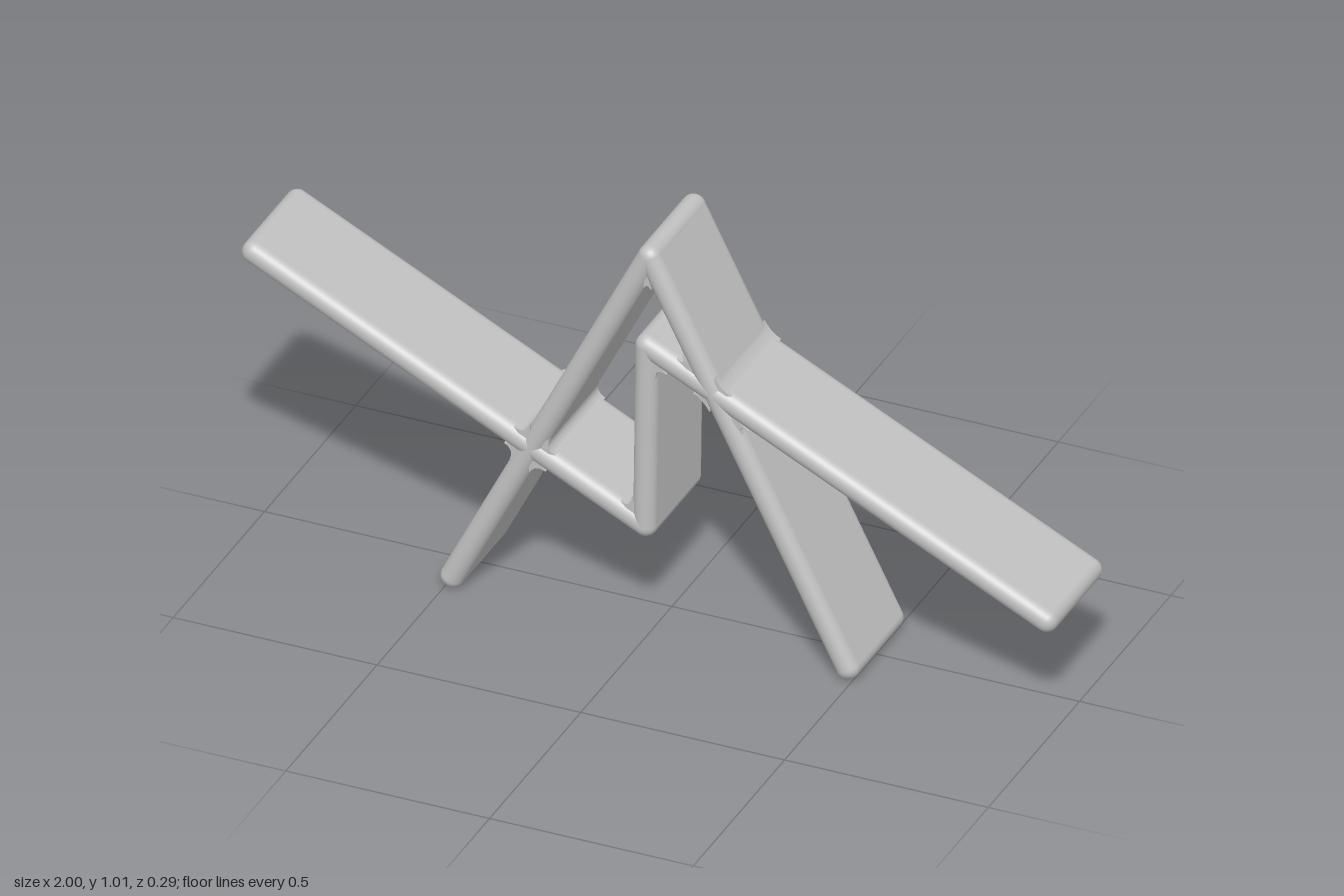
import * as THREE from 'three';
import { RoundedBoxGeometry } from 'three/addons/geometries/RoundedBoxGeometry.js';

const HALF = 0.028;   // half plank thickness
const WIDTH = 0.29;   // plank width along z

export function createModel() {
  const model = new THREE.Group();
  const grey = new THREE.MeshStandardMaterial({ color: 0xc0c0c0 });
  grey.name = 'light grey';
  const v = (x, y) => new THREE.Vector2(x, y);

  const add = (name, geometry) => {
    const mesh = new THREE.Mesh(geometry, grey);
    mesh.name = name;
    model.add(mesh);
    return mesh;
  };

  // Soft-edged plank between two points in the front plane
  const plank = (name, a, b) => {
    const d = b.clone().sub(a);
    const geo = new RoundedBoxGeometry(d.length() + 2 * HALF, 2 * HALF, WIDTH, 5, HALF * 0.98);
    const mesh = add(name, geo);
    mesh.position.set((a.x + b.x) / 2, (a.y + b.y) / 2, 0);
    mesh.rotation.z = Math.atan2(d.y, d.x);
  };

  // Concave fillet filling the inner corner between two planks meeting at p
  const fillet = (p, toA, toB, r = 0.03) => {
    const a = toA.clone().sub(p).normalize();
    const b = toB.clone().sub(p).normalize();
    const h = HALF * 0.96 / Math.abs(a.cross(b));
    const q = p.clone().addScaledVector(a, h).addScaledVector(b, h);
    const s = q.clone().addScaledVector(a, r);
    const e = q.clone().addScaledVector(b, r);
    const shape = new THREE.Shape();
    shape.moveTo(p.x, p.y);
    shape.lineTo(s.x, s.y);
    shape.quadraticCurveTo(q.x, q.y, e.x, e.y);
    shape.closePath();
    const depth = WIDTH - 0.016;
    const geo = new THREE.ExtrudeGeometry(shape, { depth, bevelEnabled: false, curveSegments: 6 });
    add('jointFillet', geo.translate(0, 0, -depth / 2));
  };

  // Crossing point of lines a-b and c-d
  const crossing = (a, b, c, d) => {
    const u = b.clone().sub(a), w = d.clone().sub(c);
    return a.clone().addScaledVector(u, c.clone().sub(a).cross(w) / u.cross(w));
  };

  const apex = v(0, 0.986), footR = v(-0.485, 0.029), footL = v(0.485, 0.029);
  const tipR = v(-0.972, 0.756), low = v(-0.012, 0.281);
  const high = v(-0.006, 0.752), tipL = v(0.972, 0.274);

  // Inverted V
  plank('rightLeg', apex, footR);
  plank('leftLeg', apex, footL);

  // Zigzag running through the legs
  plank('rightArm', tipR, low);
  plank('centrePost', low, high);
  plank('leftArm', high, tipL);

  // Softened inner corners
  fillet(apex, footR, footL, 0.02);
  fillet(low, tipR, high);
  fillet(high, low, tipL);
  for (const [foot, a, b] of [[footR, tipR, low], [footL, high, tipL]]) {
    const p = crossing(apex, foot, a, b);
    for (const m of [apex, foot]) for (const n of [a, b]) fillet(p, m, n);
  }
  return model;
}
